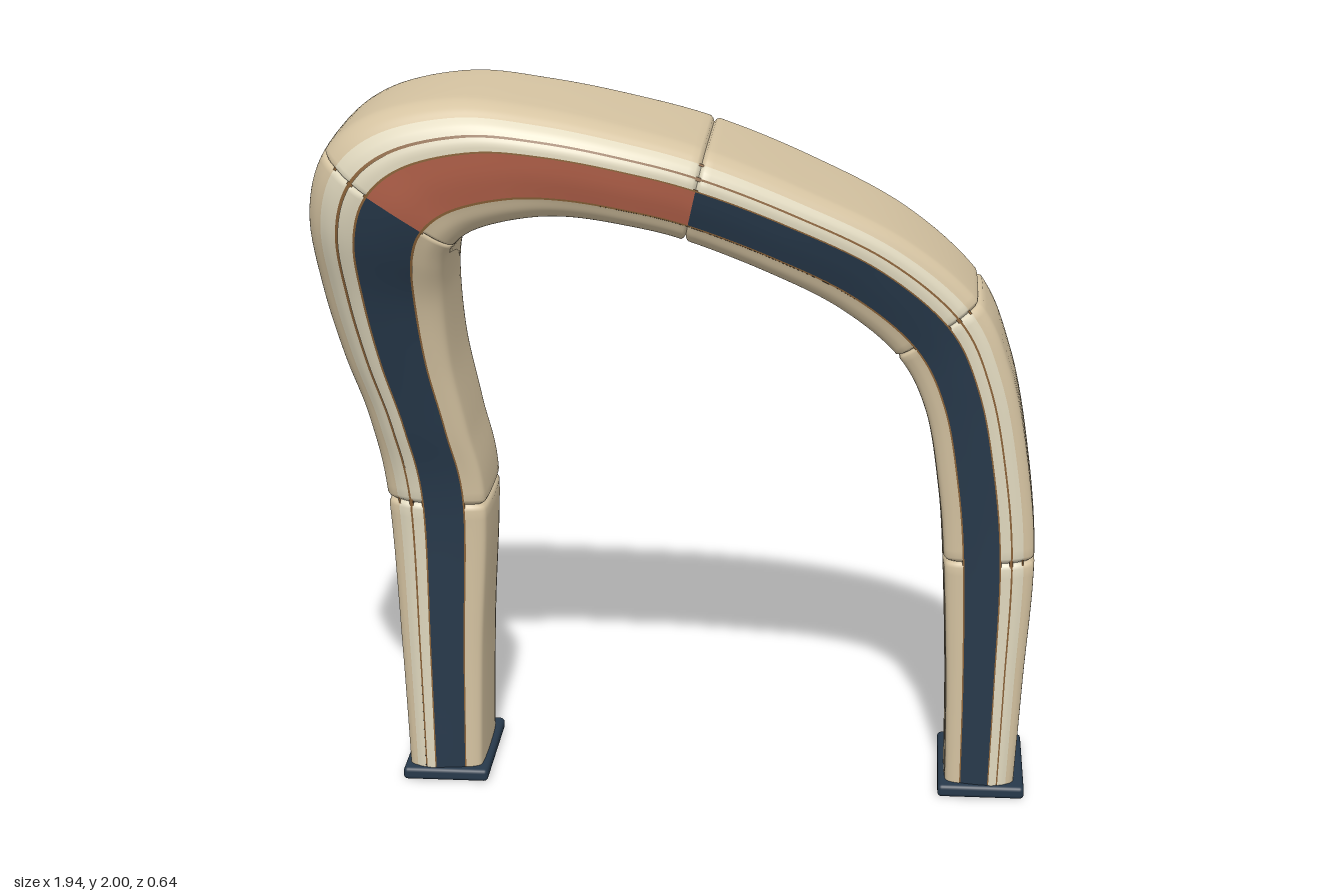
import * as THREE from 'three';
import { RoundedBoxGeometry } from 'three/addons/geometries/RoundedBoxGeometry.js';

// Stations along the arch: outer x,y, inner x,y, front z, back z, bevel depth
const STATIONS = [
  [-0.775, 0.03, -0.57, 0.03, 0.05, -0.3, 0.035],
  [-0.79, 0.4, -0.56, 0.4, 0.053, -0.295, 0.035],
  [-0.812, 0.84, -0.54, 0.825, 0.07, -0.28, 0.038],
  [-0.85, 1.08, -0.577, 1.05, 0.12, -0.26, 0.05],
  [-0.905, 1.27, -0.612, 1.25, 0.17, -0.24, 0.062],
  [-0.95, 1.47, -0.622, 1.43, 0.225, -0.225, 0.08],
  [-0.97, 1.68, -0.612, 1.54, 0.285, -0.215, 0.095],
  [-0.92, 1.85, -0.585, 1.605, 0.315, -0.21, 0.1],
  [-0.79, 1.955, -0.52, 1.652, 0.32, -0.21, 0.1],
  [-0.577, 2.0, -0.4, 1.683, 0.32, -0.215, 0.1],
  [-0.365, 1.978, -0.28, 1.688, 0.312, -0.225, 0.1],
  [-0.153, 1.933, -0.13, 1.665, 0.295, -0.245, 0.092],
  [0.07, 1.867, 0.016, 1.624, 0.26, -0.275, 0.08],
  [0.32, 1.757, 0.23, 1.53, 0.2, -0.31, 0.062],
  [0.587, 1.614, 0.42, 1.42, 0.135, -0.32, 0.05],
  [0.79, 1.434, 0.575, 1.28, 0.092, -0.308, 0.045],
  [0.878, 1.24, 0.655, 1.12, 0.075, -0.3, 0.04],
  [0.93, 1.0, 0.695, 0.9, 0.063, -0.295, 0.037],
  [0.96, 0.7, 0.714, 0.693, 0.055, -0.295, 0.035],
  [0.942, 0.34, 0.73, 0.34, 0.05, -0.298, 0.035],
  [0.926, 0.03, 0.735, 0.03, 0.05, -0.3, 0.035],
];
const LAST = STATIONS.length - 1;
const SEAMS = [0, 2, 7, 12, 15, 18, LAST];

// Smooth interpolation of all station values
function station(t) {
  const i = Math.min(Math.floor(t), LAST - 1), f = t - i;
  const s = (k) => STATIONS[Math.max(0, Math.min(LAST, k))];
  const [a, b, c, d] = [s(i - 1), s(i), s(i + 1), s(i + 2)];
  return b.map((p, k) => 0.5 * (2 * p + (c[k] - a[k]) * f
    + (2 * a[k] - 5 * p + 4 * c[k] - d[k]) * f * f
    + (3 * p - a[k] - 3 * c[k] + d[k]) * f * f * f));
}

// Profile entry [u, side, k]: u runs outer to inner, k is depth below the front or back
function place([u, side, k], s, inset) {
  const [ox, oy, ix, iy, zf, zb, d] = s;
  const v = new THREE.Vector3(ox + (ix - ox) * u, oy + (iy - oy) * u,
    side > 0 ? zf - k * d : zb + k * (0.5 * d + 0.012));
  const centre = new THREE.Vector3((ox + ix) / 2, (oy + iy) / 2, (zf + zb) / 2);
  const half = new THREE.Vector2(ox - ix, oy - iy).length() / 2;
  const halfZ = (zf - zb) / 2;
  v.x += (centre.x - v.x) * inset / half;
  v.y += (centre.y - v.y) * inset / half;
  v.z += (centre.z - v.z) * inset / halfZ;
  return v;
}

// Sweeps a profile from t0 to t1; seamed ends roll inwards, depth sinks the whole strip
function sweep(profile, t0, t1, { cols = 4, seam = false, depth = 0 } = {}) {
  const ts = [], n = Math.ceil((t1 - t0) * 8);
  for (let i = 0; i <= n; i++) ts.push(t0 + (t1 - t0) * i / n);
  if (seam) {
    ts.splice(1, 0, t0 + 0.02, t0 + 0.05);
    ts.splice(ts.length - 1, 0, t1 - 0.05, t1 - 0.02);
  }
  const pos = [], index = [];
  for (const t of ts) {
    const edge = Math.min(t0 === 0 ? 1 : t - t0, t1 === LAST ? 1 : t1 - t);
    const roll = seam ? 0.012 * Math.max(0, 1 - edge / 0.05) ** 2 : 0;
    const s = station(t);
    const pts = profile.map((p) => place(p, s, depth + roll));
    const row = new THREE.CatmullRomCurve3(pts, false, 'centripetal').getPoints(cols);
    row.forEach((p) => pos.push(p.x, p.y, p.z));
  }
  const w = cols + 1;
  for (let i = 0; i < ts.length - 1; i++) {
    for (let j = 0; j < cols; j++) {
      const a = i * w + j, b = a + w;
      index.push(a, b, a + 1, b, b + 1, a + 1);
    }
  }
  const g = new THREE.BufferGeometry();
  g.setAttribute('position', new THREE.Float32BufferAttribute(pos, 3));
  g.setIndex(index);
  g.computeVertexNormals();
  return g;
}

export function createModel() {
  const model = new THREE.Group();
  const mat = (color) => new THREE.MeshStandardMaterial({ color, side: THREE.DoubleSide });
  const beige = mat(0xd6c4a2), cream = mat(0xe0d8be), navy = mat(0x27394b);
  const copper = mat(0x8a6238), accent = mat(0xb8644c), dark = mat(0x3a3128);
  const add = (name, geometry, material) => {
    const m = new THREE.Mesh(geometry, material);
    m.name = name;
    model.add(m);
  };

  // Profiles, ordered around the section so faces point outwards
  const outer = [[0.12, 1, 0.4], [0.06, 1, 0.62], [0.015, 1, 0.95], [0, 1, 1.4],
    [0, -1, 1.6], [0.015, -1, 1.05], [0.06, -1, 0.7], [0.14, -1, 0.45]];
  const inner = [[0.8, -1, 0.15], [0.9, -1, 0.4], [0.975, -1, 0.9], [1, -1, 1.6],
    [1, 1, 1.3], [0.975, 1, 0.8], [0.9, 1, 0.5], [0.79, 1, 0.32]];
  const frontTrim = [[0.24, 1, 0.1], [0.18, 1, 0.2], [0.12, 1, 0.4]];
  const frontPiping = [[0.37, 1, 0], [0.31, 1, 0.01], [0.26, 1, 0.07]];
  const backTrim = [[0.14, -1, 0.45], [0.22, -1, 0.25], [0.37, -1, 0.03]];

  // Padded shell panels and trim, divided at the seams
  for (let i = 0; i < SEAMS.length - 1; i++) {
    const [a, b] = [SEAMS[i], SEAMS[i + 1]];
    add('outerPanel', sweep(outer, a, b, { cols: 42, seam: true }), beige);
    add('innerPanel', sweep(inner, a, b, { cols: 42, seam: true }), beige);
    add('frontTrim', sweep(frontTrim, a, b, { cols: 6, seam: true }), cream);
    add('frontPiping', sweep(frontPiping, a, b, { cols: 4, seam: true }), cream);
    add('backTrim', sweep(backTrim, a, b, { cols: 6, seam: true }), beige);
  }

  // Recessed lines between the panels
  const lines = [
    [[0.27, 1, 0.06], [0.23, 1, 0.11]], [[0.4, 1, 0], [0.36, 1, 0]],
    [[0.13, -1, 0.46], [0.15, -1, 0.42]], [[0.36, -1, 0.03], [0.4, -1, 0]],
    [[0.78, -1, 0.13], [0.81, -1, 0.17]], [[0.8, 1, 0.33], [0.76, 1, 0.3]],
    [[0.13, 1, 0.38], [0.11, 1, 0.44]],
  ];
  lines.forEach((p) => add('grooveLine', sweep(p, 0, LAST, { cols: 1, depth: 0.003 }), copper));

  // Inlaid bands, with the coloured insert at the front of the crown
  const frontBand = [[0.775, 1, 0.31], [0.58, 1, 0.12], [0.385, 1, 0]];
  const backBand = [[0.385, -1, 0.02], [0.58, -1, 0], [0.785, -1, 0.13]];
  add('frontBandLeg', sweep(frontBand, 0, 7, { cols: 6, depth: 0.001 }), navy);
  add('frontInsert', sweep(frontBand, 7, 12, { cols: 6, depth: 0.001 }), accent);
  add('frontBandArm', sweep(frontBand, 12, LAST, { cols: 6, depth: 0.001 }), navy);
  add('backBand', sweep(backBand, 0, LAST, { cols: 6, depth: 0.001 }), navy);

  // Dark core closing the gaps behind the seams
  const core = [...outer, ...backTrim.slice(1), ...backBand, ...inner, ...frontBand,
    ...frontPiping, ...frontTrim];
  add('core', sweep(core, 0, LAST, { cols: 60, depth: 0.014 }), dark);

  // Base plates
  for (const x of [-0.67, 0.835]) {
    const g = new RoundedBoxGeometry(0.24, 0.036, 0.375, 3, 0.012);
    g.translate(x, 0.018, -0.127);
    add('basePlate', g, navy);
  }
  return model;
}
